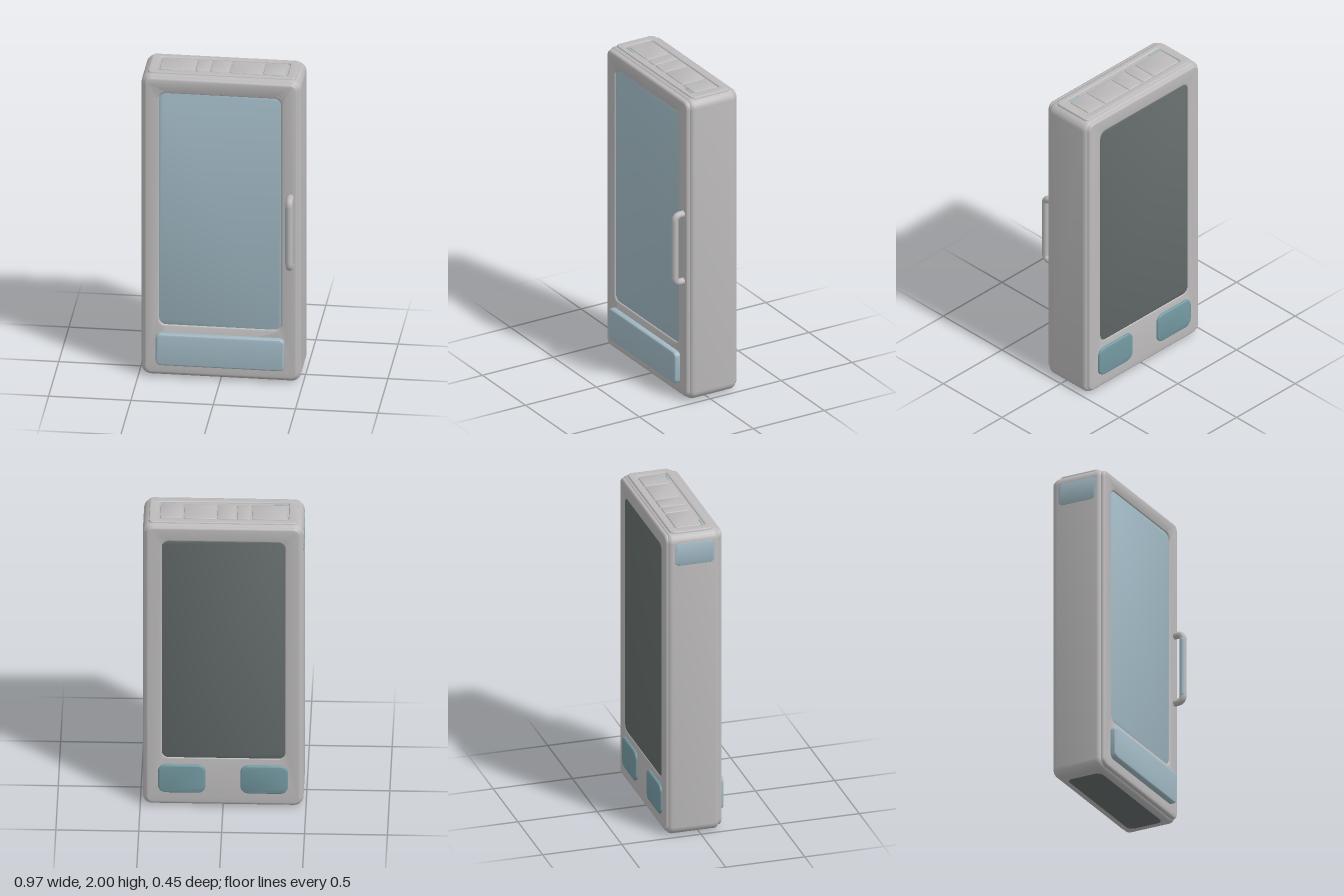
import * as THREE from 'three';
import { toCreasedNormals } from 'three/addons/utils/BufferGeometryUtils.js';

const mat = (name, color, side = THREE.FrontSide) => {
  const m = new THREE.MeshStandardMaterial({ color, side });
  m.name = name;
  return m;
};

// Rounded rectangle traced on a Shape or Path
function roundRect(P, x0, x1, y0, y1, r) {
  const s = new P();
  s.moveTo(x0 + r, y0);
  s.lineTo(x1 - r, y0);
  s.absarc(x1 - r, y0 + r, r, -Math.PI / 2, 0);
  s.lineTo(x1, y1 - r);
  s.absarc(x1 - r, y1 - r, r, 0, Math.PI / 2);
  s.lineTo(x0 + r, y1);
  s.absarc(x0 + r, y1 - r, r, Math.PI / 2, Math.PI);
  s.lineTo(x0, y0 + r);
  s.absarc(x0 + r, y0 + r, r, Math.PI, Math.PI * 1.5);
  return s;
}

// Bevelled slab between z0 and z1; rect and hole are [x0, x1, y0, y1, radius]
function slab(rect, z0, z1, bevel, hole) {
  const [x0, x1, y0, y1, r] = rect;
  const shape = roundRect(THREE.Shape, x0, x1, y0, y1, r);
  if (hole) shape.holes.push(roundRect(THREE.Path, ...hole));
  const g = new THREE.ExtrudeGeometry(shape, {
    depth: z1 - z0 - 2 * bevel, bevelEnabled: true, bevelThickness: bevel,
    bevelSize: bevel, bevelOffset: -bevel, bevelSegments: 4, curveSegments: 8,
  });
  g.translate(0, 0, z0 + bevel);
  return toCreasedNormals(g, 0.6);
}

export function createModel() {
  const model = new THREE.Group();
  model.name = 'cabinet';
  const grey = mat('warm grey', 0xbcbabb);
  const blue = mat('pale blue', 0xa0b8c3);
  const teal = mat('dusty teal', 0x7499a2);
  const dark = mat('dark slate', 0x636b6a);
  const add = (name, geo, material, parent = model) => {
    const m = new THREE.Mesh(geo, material);
    m.name = name;
    parent.add(m);
    return m;
  };

  // Body with a stepped front and back frame
  const win = [-0.37, 0.365, 0.35, 1.88, 0.04];
  const frame = [-0.468, 0.468, 0.018, 1.982, 0.045];
  add('body', slab([-0.485, 0.485, 0, 1.992, 0.06], -0.2, 0.125, 0.03), grey);
  add('frontFrame', slab(frame, 0.09, 0.145, 0.018, win), grey);
  add('backFrame', slab(frame, -0.211, -0.16, 0.014, win), grey);

  // Window panes set just inside the frames
  const pane = [-0.375, 0.37, 0.345, 1.885, 0.04];
  add('frontWindow', slab(pane, 0.128, 0.136, 0.002), blue);
  add('backPanel', slab(pane, -0.208, -0.2, 0.002), dark);

  // Drawer front and rear pads
  add('drawer', slab([-0.39, 0.39, 0.09, 0.297, 0.03], 0.13, 0.181, 0.012), blue);
  for (const s of [-1, 1]) {
    const [a, b] = s > 0 ? [0.105, 0.392] : [-0.392, -0.105];
    add(s > 0 ? 'leftRearPad' : 'rightRearPad',
      slab([a, b, 0.1, 0.3, 0.05], -0.225, -0.19, 0.012), teal);
  }

  // Door handle: a bent bar with a pale inner strip
  const handle = new THREE.Group();
  handle.name = 'handle';
  model.add(handle);
  const bar = new THREE.CurvePath();
  const v = (y, z) => new THREE.Vector3(0.425, y, z);
  bar.add(new THREE.LineCurve3(v(0.787, 0.12), v(0.787, 0.165)));
  bar.add(new THREE.QuadraticBezierCurve3(v(0.787, 0.165), v(0.787, 0.203), v(0.825, 0.203)));
  bar.add(new THREE.LineCurve3(v(0.825, 0.203), v(1.195, 0.203)));
  bar.add(new THREE.QuadraticBezierCurve3(v(1.195, 0.203), v(1.233, 0.203), v(1.233, 0.165)));
  bar.add(new THREE.LineCurve3(v(1.233, 0.165), v(1.233, 0.12)));
  add('handleBar', new THREE.TubeGeometry(bar, 80, 0.022, 12), grey, handle);
  const strip = add('handleStrip', new THREE.CapsuleGeometry(0.018, 0.36, 4, 12), blue, handle);
  strip.position.set(0.418, 1.01, 0.203);

  // Top: a raised rim around a row of tiles (slabs turned to face up)
  const top = new THREE.Group();
  top.name = 'topPanel';
  top.rotation.x = -Math.PI / 2;
  model.add(top);
  add('topRim', slab([-0.45, 0.45, -0.095, 0.175, 0.03], 1.97, 2, 0.008,
    [-0.393, 0.393, -0.06, 0.13, 0.02]), grey, top);
  const cuts = [-0.387, -0.168, -0.078, 0.04, 0.243, 0.385];
  for (let i = 0; i < 5; i++) {
    add('topTile' + (i + 1),
      slab([cuts[i] + 0.003, cuts[i + 1] - 0.003, -0.04, 0.124, 0.015], 1.975, 1.998, 0.006), grey, top);
  }
  // Pale slots at the two front corners of the tile row
  for (const x of [-0.345, 0.335]) {
    add('topSlot', slab([x - 0.042, x + 0.042, -0.056, -0.044, 0.005], 1.989, 1.995, 0.001), blue, top);
  }

  // Pale patch high on the right side
  const patch = add('sidePatch', slab([-0.16, 0.09, 1.79, 1.935, 0.03], 0.48, 0.487, 0.002), blue);
  patch.rotation.y = -Math.PI / 2;

  // Dark underside plate
  const base = add('basePlate', slab([-0.4, 0.4, -0.15, 0.08, 0.04], -0.002, 0.005, 0.002), dark);
  base.rotation.x = Math.PI / 2;
  base.position.y = 0.003;

  return model;
}
